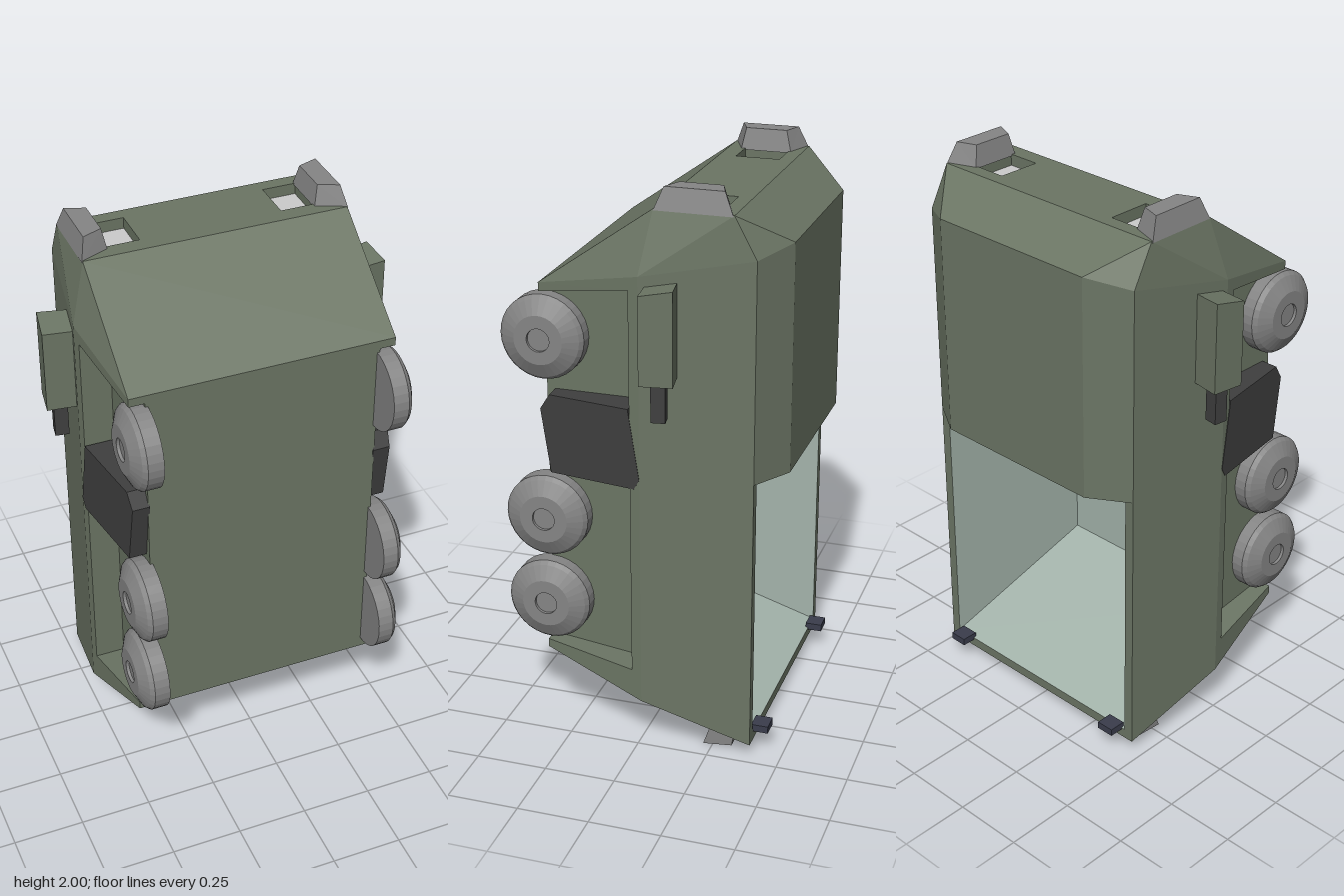
import * as THREE from 'three';

const paint = (color) => new THREE.MeshStandardMaterial({ color, flatShading: true });
const GREEN = paint(0x6b7564), PALE = paint(0xa3b3aa), DARK = paint(0x3f3f3f);
const GREY = paint(0x858585), LAMP = paint(0xbcbcbc), NAVY = paint(0x3a3d4c);

const flip = (p) => [-p[0], p[1], p[2]];
const both = (faces) => [...faces, ...faces.map((f) => f.map(flip))];
// Face spanning both sides from a list of points on the left half
const span = (...pts) => [...pts, ...pts.map(flip).reverse()];

// Flat convex panels, turned away from (or towards) a reference point
function panels(name, faces, ref, material, inward = false) {
  const centre = new THREE.Vector3(...ref), out = [];
  for (const face of faces) {
    const p = face.map((c) => new THREE.Vector3(...c));
    for (let i = 1; i < p.length - 1; i++) {
      const tri = [p[0], p[i], p[i + 1]];
      const n = p[i].clone().sub(p[0]).cross(p[i + 1].clone().sub(p[0]));
      if ((n.dot(p[0].clone().sub(centre)) < 0) !== inward) tri.reverse();
      tri.forEach((v) => out.push(v.x, v.y, v.z));
    }
  }
  const geo = new THREE.BufferGeometry();
  geo.setAttribute('position', new THREE.Float32BufferAttribute(out, 3));
  geo.computeVertexNormals();
  const mesh = new THREE.Mesh(geo, material);
  mesh.name = name;
  return mesh;
}

// Solid between two matching outlines
function loft(name, a, b, material) {
  const faces = [a, b];
  a.forEach((p, i) => {
    const j = (i + 1) % a.length;
    faces.push([p, a[j], b[j], b[i]]);
  });
  const ref = [0, 1, 2].map((k) => [...a, ...b].reduce((s, p) => s + p[k], 0) / (2 * a.length));
  return panels(name, faces, ref, material);
}

function box(name, size, pos, material) {
  const mesh = new THREE.Mesh(new THREE.BoxGeometry(...size), material);
  mesh.name = name;
  mesh.position.set(...pos);
  return mesh;
}

// Half width of the front part of the side wall at depth z
const sideX = (z) => 0.52 - (z + 0.02) * 0.153;

function createHull() {
  const hull = new THREE.Group();
  hull.name = 'hull';
  // Left-hand corners
  const A = [0.465, 1.65, 0.34], B = [0.465, 0.31, 0.34];
  const C = [0.52, 1.72, -0.02], D = [0.52, 0.185, -0.02];
  const E = [0.465, 1.79, -0.395], F = [0.465, 0.045, -0.395];
  const G = [0.465, 1.93, -0.055], H = [0.465, 1.93, -0.32];
  const I = [0.325, 1.82, -0.48], J = [0.325, 1.03, -0.48], K = [0.465, 1.03, -0.395];
  // Wheel recess outline and its inner copy
  const P = [[1.62, 0.34], [1.67, 0.015], [0.3, 0.015], [0.34, 0.34]].map(([y, z]) => [sideX(z), y, z]);
  const Q = P.map(([, y, z]) => [0.41, y, z]);
  const topRect = (x0, x1, z0, z1) => [[x0, 1.93, z0], [x1, 1.93, z0], [x1, 1.93, z1], [x0, 1.93, z1]];

  const shell = [
    span([0.41, 1.65, 0.34], [0.41, 0.31, 0.34]),
    span(A, G), span(H, I), span(I, J), span(K, J), span(B, D), span(D, F),
    span(F, [0.465, 0.08, -0.395]),
    topRect(-0.465, 0.465, -0.055, -0.115),
    topRect(-0.465, 0.465, -0.27, -0.32),
    topRect(-0.25, 0.25, -0.115, -0.27),
    ...both([
      [A, P[0], Q[0], [0.41, 1.65, 0.34]], [B, P[3], Q[3], [0.41, 0.31, 0.34]],
      [A, P[0], P[1], C], [C, P[1], P[2], D], [D, P[2], P[3], B],
      [A, C, G], [C, E, H, G], [C, D, F, E],
      [H, E, I], [E, K, J, I],
      [[0.465, 0.08, -0.395], K, [0.43, 1.03, -0.395], [0.43, 0.08, -0.395]],
      topRect(0.37, 0.465, -0.115, -0.27),
    ]),
  ];
  hull.add(panels('hullShell', shell, [0, 1.1, -0.05], GREEN));

  // Recesses behind the wheels
  const recess = [Q, [P[0], Q[0], Q[1], P[1]], [P[1], Q[1], Q[2], P[2]], [P[2], Q[2], Q[3], P[3]]];
  hull.add(panels('leftWheelRecess', recess, [0.46, 0.98, 0.2], GREEN, true));
  hull.add(panels('rightWheelRecess', recess.map((f) => f.map(flip)), [-0.46, 0.98, 0.2], GREEN, true));

  // Open bay in the back, with a sloping floor
  const a = [0.43, 0.08, -0.395], b = [0.43, 1.03, -0.395], c = [0.39, 1.03, 0.2], d = [0.39, 0.29, 0.2];
  hull.add(panels('rearBay', [span(a, d), span(d, c), span(c, b), ...both([[a, b, c, d]])],
    [0, 0.65, -0.1], PALE, true));

  // Sunken wells in the top
  for (const s of [1, -1]) {
    const rim = [[0.25, -0.115], [0.37, -0.115], [0.37, -0.27], [0.25, -0.27]];
    const hi = rim.map(([x, z]) => [s * x, 1.93, z]), lo = rim.map(([x, z]) => [s * x, 1.89, z]);
    const walls = hi.map((p, i) => [p, hi[(i + 1) % 4], lo[(i + 1) % 4], lo[i]]);
    hull.add(panels('topWellWalls', walls, [s * 0.31, 1.91, -0.19], GREEN, true));
    hull.add(panels('topWellFloor', [lo], [s * 0.31, 1.91, -0.19], LAMP, true));
  }
  return hull;
}

function createWheel(side, y) {
  const profile = [[0, 0.4], [0.147, 0.4], [0.147, 0.455], [0.135, 0.47], [0.085, 0.495],
    [0.04, 0.495], [0.04, 0.484], [0, 0.484]].map(([r, h]) => new THREE.Vector2(r, h));
  const wheel = new THREE.Mesh(new THREE.LatheGeometry(profile, 32), GREY);
  wheel.name = 'wheel';
  wheel.rotation.z = -side * Math.PI / 2;
  wheel.position.set(0, y, 0.335);
  return wheel;
}

function createSide(s) {
  const side = new THREE.Group();
  side.name = s > 0 ? 'leftFittings' : 'rightFittings';
  for (const y of [0.495, 0.815, 1.46]) side.add(createWheel(s, y));

  // Dark cover plate between the wheels
  const plate = [[0.345, 1.21], [0.31, 1.265], [0.02, 1.265], [-0.02, 1.02], [0, 0.985], [0.31, 0.985]];
  side.add(loft('sidePlate',
    plate.map(([z, y]) => [s * 0.405, y, z]),
    plate.map(([z, y]) => [s * (sideX(z) + 0.002), y, z]), DARK));

  // Slanted pod with a short barrel
  const pod = [[0.5, -0.145], [0.6, -0.163], [0.617, -0.053], [0.515, -0.04]];
  side.add(loft('sidePod',
    pod.map(([x, z]) => [s * x, 1.39, z]),
    pod.map(([x, z]) => [s * x, 1.68 - 0.18 * (z + 0.0), z]), GREEN));
  const barrel = box('podBarrel', [0.048, 0.15, 0.048], [s * 0.558, 1.333, -0.103], DARK);
  barrel.rotation.y = s * 0.15;
  side.add(barrel);

  // Tapered horn on the top edge
  side.add(loft('topHorn',
    [[0.468, -0.055], [0.365, -0.1], [0.365, -0.28], [0.468, -0.318]].map(([x, z]) => [s * x, 1.925, z]),
    [[0.45, -0.085], [0.38, -0.115], [0.38, -0.26], [0.45, -0.285]].map(([x, z]) => [s * x, 2, z]), GREY));

  // Foot under the hull
  const foot = [[-0.217, 0], [-0.32, 0.01], [-0.333, 0.08], [-0.255, 0.11]];
  side.add(loft('foot',
    foot.map(([z, y]) => [s * 0.29, y, z]), foot.map(([z, y]) => [s * 0.43, y, z]), GREY));

  // Small tab on the rear sill
  side.add(box('rearTab', [0.065, 0.026, 0.06], [s * 0.383, 0.086, -0.416], NAVY));
  return side;
}

export function createModel() {
  const model = new THREE.Group();
  model.name = 'armouredCarrier';
  model.add(createHull(), createSide(1), createSide(-1));
  return model;
}
